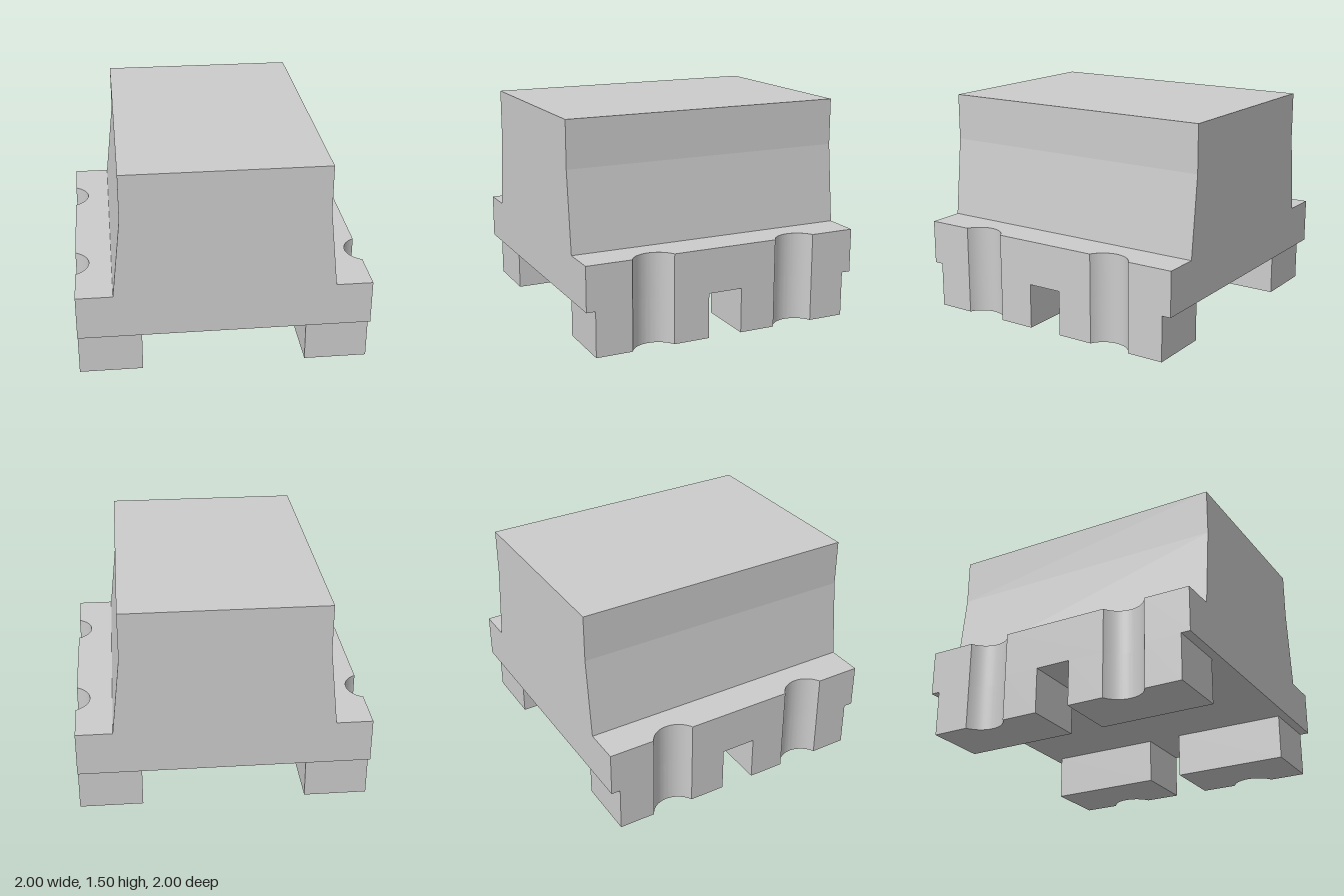
import * as THREE from 'three';
import { toCreasedNormals } from 'three/addons/utils/BufferGeometryUtils.js';

const NOTCH_Z = 0.53, NOTCH_R = 0.166, NOTCH_X = 1.071;
const HALF_ANGLE = Math.acos((NOTCH_X - 1) / NOTCH_R);
const PAD_TOP = 0.315, BASE_TOP = 0.625;

// Cuts a round notch into the right (side = 1) or left (side = -1) edge of a counter-clockwise outline
function notch(shape, side, z) {
  const mid = side > 0 ? Math.PI : 0;
  shape.absarc(side * NOTCH_X, z, NOTCH_R, mid + HALF_ANGLE, mid - HALF_ANGLE, true);
}

// Raises a plan outline from y0 to y1
function slab(shape, y0, y1) {
  const geometry = new THREE.ExtrudeGeometry(shape, { depth: y1 - y0, bevelEnabled: false, curveSegments: 24 });
  geometry.rotateX(-Math.PI / 2).translate(0, y0, 0);
  return toCreasedNormals(geometry, 0.5);
}

export function createModel() {
  const model = new THREE.Group();
  model.name = 'surfaceMountPackage';
  const material = new THREE.MeshStandardMaterial({ color: 0xcccccc });
  const add = (name, geometry) => {
    const mesh = new THREE.Mesh(geometry, material);
    mesh.name = name;
    model.add(mesh);
    return mesh;
  };

  // Base plate with two notches on each side
  const plate = new THREE.Shape();
  plate.moveTo(-1, -1);
  plate.lineTo(1, -1);
  notch(plate, 1, -NOTCH_Z);
  notch(plate, 1, NOTCH_Z);
  plate.lineTo(1, 1);
  plate.lineTo(-1, 1);
  notch(plate, -1, NOTCH_Z);
  notch(plate, -1, -NOTCH_Z);
  plate.closePath();
  add('basePlate', slab(plate, PAD_TOP, BASE_TOP));

  // Tapered housing, running the full depth
  const profile = new THREE.Shape([
    [-0.75, BASE_TOP], [0.75, BASE_TOP], [0.69, 1.18],
    [0.69, 1.505], [-0.69, 1.505], [-0.69, 1.18],
  ].map(([x, y]) => new THREE.Vector2(x, y)));
  const housing = new THREE.ExtrudeGeometry(profile, { depth: 2, bevelEnabled: false });
  add('housing', housing.translate(0, 0, -1));

  // Four contact pads, each notched on its outer edge
  const pad = new THREE.Shape();
  pad.moveTo(0.565, -0.407);
  pad.lineTo(1, -0.407);
  notch(pad, 1, 0);
  pad.lineTo(1, 0.407);
  pad.lineTo(0.565, 0.407);
  pad.closePath();
  const padGeometry = slab(pad, 0, PAD_TOP);
  for (const side of [1, -1]) {
    for (const end of [1, -1]) {
      const mesh = add(`${end > 0 ? 'front' : 'back'}${side > 0 ? 'Left' : 'Right'}Pad`, padGeometry);
      mesh.rotation.y = side > 0 ? 0 : Math.PI;
      mesh.position.z = end * NOTCH_Z;
    }
  }
  return model;
}
